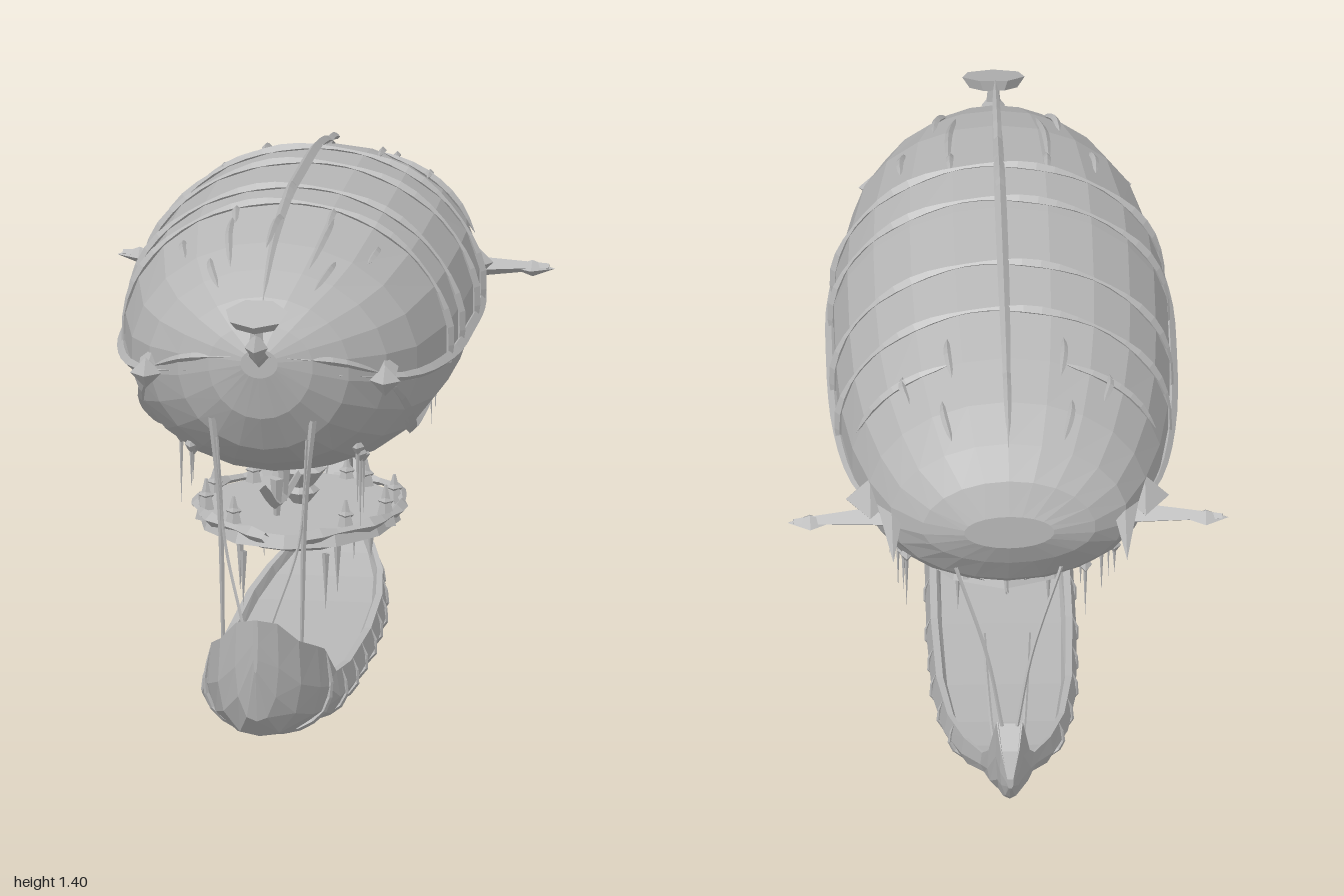
import * as THREE from 'three';

const grey = new THREE.MeshStandardMaterial({ color: 0xb8b8b8, flatShading: true, side: THREE.DoubleSide });
grey.name = 'pale grey';
const V = (x, y, z) => new THREE.Vector3(x, y, z);

// skin stretched over a list of closed cross-section rings
function loft(rings) {
  const n = rings[0].length, pos = [], idx = [];
  rings.forEach(r => r.forEach(p => pos.push(p.x, p.y, p.z)));
  for (let i = 0; i < rings.length - 1; i++) for (let j = 0; j < n; j++) {
    const a = i * n + j, b = i * n + (j + 1) % n;
    idx.push(a, a + n, b, b, a + n, b + n);
  }
  for (const s of [0, rings.length - 1]) for (let j = 1; j < n - 1; j++) {
    const a = s * n;
    if (s) idx.push(a, a + j + 1, a + j); else idx.push(a, a + j, a + j + 1);
  }
  const g = new THREE.BufferGeometry();
  g.setAttribute('position', new THREE.Float32BufferAttribute(pos, 3));
  g.setIndex(idx.reverse());
  g.computeVertexNormals();
  return g;
}

// four-sided spar along a curve; radius follows width(t)
function spar(points, r, width = () => 1, seg = 14) {
  const curve = new THREE.CatmullRomCurve3(points);
  const g = new THREE.TubeGeometry(curve, seg, r, 4, false);
  const p = g.attributes.position, v = V(0, 0, 0);
  for (let i = 0; i < p.count; i++) {
    const t = Math.floor(i / 5) / seg, c = curve.getPointAt(t);
    v.fromBufferAttribute(p, i).sub(c).multiplyScalar(Math.max(0.05, width(t))).add(c);
    p.setXYZ(i, v.x, v.y, v.z);
  }
  g.computeVertexNormals();
  return g;
}
const pointed = t => Math.sin(Math.PI * t) ** 0.5;
const taper = t => 1 - t;

// envelope stations: z, top, bottom, half width, height of widest line
const stations = [
  [0.87, 1.12, 1.04, 0.05, 1.08], [0.84, 1.18, 0.92, 0.14, 1.07], [0.78, 1.24, 0.82, 0.23, 1.05],
  [0.68, 1.29, 0.755, 0.32, 1.03], [0.55, 1.33, 0.7, 0.385, 1.01], [0.3, 1.37, 0.64, 0.435, 1],
  [0.1, 1.37, 0.625, 0.447, 1], [-0.15, 1.36, 0.615, 0.447, 0.99], [-0.35, 1.345, 0.615, 0.438, 0.98],
  [-0.53, 1.31, 0.63, 0.412, 0.98], [-0.68, 1.27, 0.7, 0.37, 0.98], [-0.79, 1.21, 0.78, 0.315, 0.98],
  [-0.85, 1.13, 0.87, 0.23, 0.98], [-0.885, 1.04, 0.94, 0.12, 0.99]];

// point on the envelope at z and angle from +x, pushed out by lift
function skin(z, ang, lift = 0) {
  let i = 0;
  while (i < stations.length - 2 && stations[i + 1][0] > z) i++;
  const a = stations[i], b = stations[i + 1], t = (a[0] - z) / (a[0] - b[0]);
  const [, top, bot, w, mid] = a.map((q, k) => q + (b[k] - q) * t);
  const c = Math.cos(ang), s = Math.sin(ang);
  return V((w + lift) * c, mid + s * ((s > 0 ? top - mid : mid - bot) + lift), z);
}

export function createModel() {
  const model = new THREE.Group();
  const add = (name, geo, x = 0, y = 0, z = 0) => {
    const m = new THREE.Mesh(geo, grey);
    m.name = name;
    m.position.set(x, y, z);
    model.add(m);
    return m;
  };
  let seed = 7;
  const rnd = () => (seed = (seed * 16807) % 2147483647) / 2147483647;

  // gas envelope
  add('envelope', loft(stations.map(([z]) => Array.from({ length: 22 },
    (_, j) => skin(z, ((j + 0.5) / 22) * Math.PI * 2)))));

  // hoops over the upper half
  for (const z of [0.3, 0.14, -0.15, -0.35]) {
    const pts = Array.from({ length: 15 }, (_, j) => skin(z, -0.15 + (j / 14) * (Math.PI + 0.3), 0.002));
    add('hoop', spar(pts, 0.012, t => 0.8 + 0.4 * Math.sin(t * 25), 28));
  }

  // raised spine with overlapping slats
  add('spine', spar([0.8, 0.6, 0.3, 0, -0.35, -0.6, -0.8].map(z => skin(z, Math.PI / 2, 0.008)), 0.016, pointed, 20));
  for (const [z, y, len] of [[0.5, 1.375, 0.44], [0.2, 1.39, 0.36], [-0.2, 1.37, 0.5], [-0.62, 1.3, 0.4]])
    add('spineSlat', spar([V(0, y - 0.015, z + len / 2), V(0, y, z), V(0, y - 0.05, z - len / 2)], 0.011, pointed, 8));

  for (const s of [1, -1]) {
    const at = (z, a, l) => { const p = skin(z, a, l); p.x *= s; return p; };

    // side rail and sagging lower rail
    add('sideRail', spar([0.8, 0.6, 0.3, 0, -0.3, -0.55, -0.72].map(z => at(z, -0.1, 0.003)), 0.018, pointed, 20));
    add('saggingRail', spar([[0.69, -0.1], [0.6, -0.3], [0.45, -0.55], [0.2, -0.77], [-0.1, -0.8], [-0.35, -0.78], [-0.55, -0.7]]
      .map(([z, a]) => at(z, a, 0.004)), 0.02, pointed, 22));

    // short raised battens on the upper skin
    for (const [z, a, len] of [[0.5, 1.25, 0.3], [0.45, 0.9, 0.12], [0.35, 1.27, 0.1], [-0.5, 1.2, 0.14], [-0.55, 0.85, 0.1], [-0.7, 1.1, 0.12], [0.65, 1.1, 0.14]])
      add('batten', spar([at(z + len / 2, a, 0), at(z, a, 0.012), at(z - len / 2, a, 0)], 0.01, pointed, 6));
    add('rearBatten', spar([0.3, 0.6, 0.9, 1.2].map(a => at(-0.53, a, 0.004)), 0.012, pointed, 8));
    add('frontSeam', spar([V(s * 0.03, 1.1, 0.87), at(0.8, 0.1, 0.002), at(0.7, -0.05, 0.002)], 0.011, pointed, 8));

    // nose knob on a short stalk
    add('noseKnob', new THREE.OctahedronGeometry(0.042), s * 0.32, 1.01, 0.74);
    add('knobStalk', spar([at(0.66, 0, -0.02), V(s * 0.315, 1.01, 0.7), V(s * 0.32, 1.01, 0.74)], 0.03, t => 1.2 - 0.5 * t, 4));

    // horizontal tail wing and trailing spike
    const wing = new THREE.CylinderGeometry(0.012, 0.045, 0.24, 4);
    wing.rotateZ(-s * Math.PI / 2);
    const w = add('tailWing', wing, s * 0.45, 0.935, -0.725);
    w.rotation.y = s * 0.1;
    w.scale.y = 0.7;
    const tip = add('wingTip', new THREE.OctahedronGeometry(0.05), s * 0.525, 0.93, -0.735);
    tip.scale.set(1.2, 0.45, 0.75);
    const spike = new THREE.ConeGeometry(0.05, 0.38, 4);
    spike.rotateX(-Math.PI / 2);
    add('tailSpike', spike, s * 0.31, 0.975, -0.81).scale.y = 0.75;
    const root = add('tailRoot', new THREE.OctahedronGeometry(0.08), s * 0.365, 0.96, -0.67);
    root.scale.set(0.8, 0.8, 1.2);

    // long stays to the boat
    add('bowStay', spar([V(s * 0.135, 0.91, 0.8), V(s * 0.115, 0.7, 0.8), V(s * 0.105, 0.3, 0.8)], 0.01, t => 1 - t * 0.5));
    add('bowLine', spar([V(s * 0.12, 0.86, 0.81), V(s * 0.1, 0.58, 0.81), V(s * 0.04, 0.38, 0.91)], 0.004));
    add('sternStay', spar([V(s * 0.14, 0.83, -0.81), V(s * 0.06, 0.6, -0.88), V(s * 0.02, 0.4, -0.925)], 0.005));
    add('sternLine', spar([V(s * 0.06, 0.46, -0.57), V(s * 0.05, 0.33, -0.67), V(s * 0.04, 0.26, -0.76), V(s * 0.03, 0.27, -0.84)], 0.005));

    // loose ends hanging below the envelope
    for (let i = 0; i < 9; i++) {
      const z = i < 4 ? 0.3 + i * 0.1 : -0.42 - (i - 4) * 0.07;
      const p = at(z, -1.1 + rnd() * 0.4, 0), len = 0.08 + rnd() * 0.12;
      add('looseEnd', spar([p, V(p.x, p.y - len / 2, z), V(p.x, p.y - len, z)], 0.006, taper, 4));
      const scrap = add('scrap', new THREE.OctahedronGeometry(0.026), p.x, p.y, z);
      scrap.scale.set(0.7, 1, 0.4 + rnd());
    }

    // platform turrets and hanging spikes
    for (const [x, z, h] of [[0.24, 0.1, 0.11], [0.24, -0.08, 0.09], [0.15, 0.23, 0.1], [0.15, -0.19, 0.1], [0.09, -0.26, 0.08]]) {
      add('turret', new THREE.CylinderGeometry(0.004, 0.03, h, 5), s * x, 0.44 + h / 2, z);
      add('turretCap', new THREE.OctahedronGeometry(0.022), s * x, 0.44 + h * 0.6, z);
    }
    for (const [x, z, l] of [[0.11, 0.34, 0.15], [0.13, 0.25, 0.13], [0.12, -0.17, 0.15], [0.2, 0.1, 0.07]])
      add('hangingSpike', spar([V(s * x, 0.42, z), V(s * x, 0.42 - l / 2, z), V(s * x, 0.42 - l, z)], 0.01, taper, 4));
    add('platformRail', spar([V(s * 0.05, 0.46, 0.35), V(s * 0.22, 0.47, 0.2), V(s * 0.27, 0.47, 0), V(s * 0.21, 0.47, -0.2), V(s * 0.05, 0.46, -0.31)], 0.018, t => 0.8 + 0.4 * Math.sin(t * 30), 16));
  }

  // nose ornament
  add('noseStem', spar([V(0, 1.09, 0.85), V(0, 1.13, 0.92), V(0, 1.21, 0.92)], 0.028, t => 1 - 0.5 * t, 6));
  const ball = add('noseBall', new THREE.OctahedronGeometry(0.045), 0, 1.14, 0.93);
  ball.scale.set(0.7, 1, 1.2);
  const plate = add('nosePlate', new THREE.CylinderGeometry(0.085, 0.065, 0.03, 7), 0, 1.22, 0.925);
  plate.scale.z = 0.8;
  plate.rotation.x = 0.35;

  // keel strip below the envelope
  add('keelStrip', spar([V(0, 0.7, 0.75), V(0, 0.61, 0.55), V(0, 0.575, 0.35), V(0, 0.565, -0.4), V(0, 0.62, -0.62)], 0.01, t => 1.5 - t, 18));
  for (const z of [0.5, 0.35, -0.45])
    add('keelStrut', new THREE.CylinderGeometry(0.018, 0.008, 0.1, 4), 0, 0.615, z);

  // pylon and platform
  add('pylon', new THREE.LatheGeometry([[0, 0.44], [0.05, 0.5], [0.035, 0.515], [0.07, 0.56], [0.03, 0.58], [0.055, 0.65]]
    .map(([x, y]) => new THREE.Vector2(x, y)), 7));
  const deck = add('platform', new THREE.CylinderGeometry(0.95, 1, 0.035, 12), 0, 0.45, 0.02);
  deck.scale.set(0.27, 1, 0.34);
  const under = add('platformUnderside', new THREE.CylinderGeometry(0.95, 0.6, 0.045, 12), 0, 0.412, 0.02);
  under.scale.set(0.26, 1, 0.33);

  // boat hull: z, gunwale height, half width, keel height, floor height
  const hull = [
    [0.945, 0.395, 0.006, 0.25, 0.39], [0.915, 0.38, 0.055, 0.11, 0.3], [0.86, 0.32, 0.105, 0.055, 0.2], [0.76, 0.28, 0.142, 0.03, 0.14],
    [0.69, 0.255, 0.152, 0.024, 0.12], [0.62, 0.175, 0.175, 0.02, 0.115], [0.4, 0.145, 0.185, 0.012, 0.11], [0, 0.128, 0.188, 0.005, 0.108],
    [-0.3, 0.14, 0.18, 0.01, 0.115], [-0.5, 0.155, 0.155, 0.03, 0.13], [-0.65, 0.18, 0.115, 0.07, 0.155], [-0.76, 0.205, 0.07, 0.125, 0.19],
    [-0.86, 0.28, 0.055, 0.15, 0.27], [-0.92, 0.41, 0.035, 0.165, 0.405], [-0.965, 0.35, 0.025, 0.2, 0.345], [-1, 0.28, 0.008, 0.25, 0.275]];
  const outer = ([, top, w, bot], grow = 0) => {
    const h = top - bot, half = [[w, top], [w * 1.06 + grow, bot + h * 0.55], [w * 0.92 + grow, bot + h * 0.25], [w * 0.5, bot + h * 0.04 - grow * 0.4]];
    return [...half, [0, bot - grow * 0.4], ...half.map(([x, y]) => [-x, y]).reverse()];
  };
  add('hull', loft(hull.map(row => {
    const [z, top, w, , floor] = row;
    const inner = [[-0.9, top], [-0.84, floor], [0, floor], [0.84, floor], [0.9, top]].map(([k, y]) => [k * w, y]);
    return [...outer(row), ...inner].map(([x, y]) => V(x, y, z));
  })));

  // ribs wrapped round the hull
  for (const z of [0.68, 0.54, 0.36, 0.18, 0, -0.15, -0.28, -0.42, -0.56]) {
    let i = 0;
    while (hull[i + 1][0] > z) i++;
    const t = (hull[i][0] - z) / (hull[i][0] - hull[i + 1][0]);
    const row = hull[i].map((q, k) => q + (hull[i + 1][k] - q) * t);
    add('hullRib', spar(outer(row, 0.004).map(([x, y]) => V(x, Math.max(y, 0.009), z)), 0.009, pointed, 16));
  }
  return model;
}
